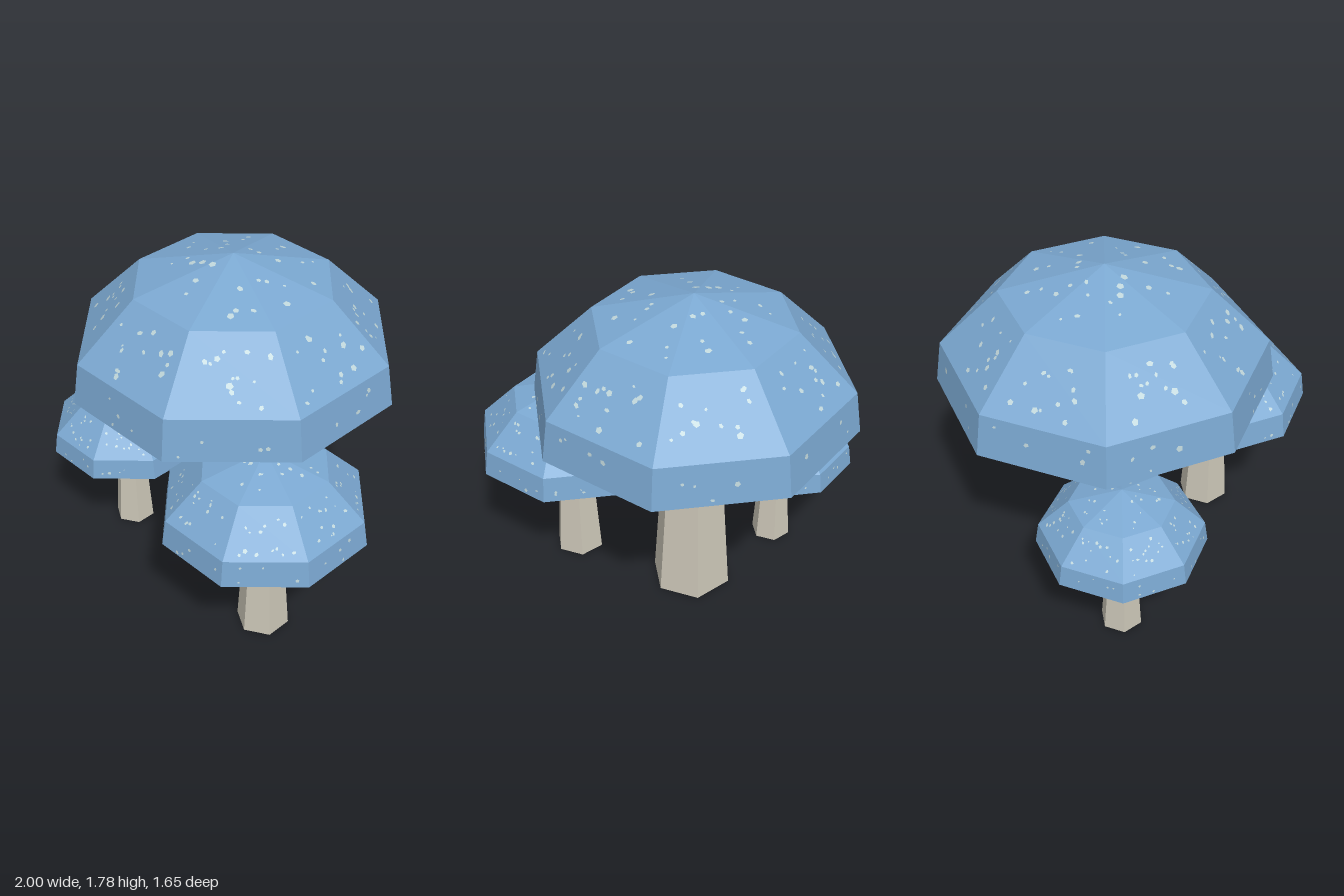
import * as THREE from 'three';
import { mergeGeometries } from 'three/addons/utils/BufferGeometryUtils.js';

const capBlue = new THREE.MeshStandardMaterial({ color: 0x7ba8d1 });
const stemBeige = new THREE.MeshStandardMaterial({ color: 0xcac5b6 });
const paleSpot = new THREE.MeshStandardMaterial({ color: 0xc0d6da });

// Outer cap profile as [corner radius, height], from rim to apex
const CAP = [[0.85, 1.12], [0.817, 1.34], [0.517, 1.64], [0, 1.785]];
const CAP_SIDES = 8;
const HALF = Math.PI / CAP_SIDES;

function seeded(seed) {
  let s = seed;
  return () => (s = (s * 16807) % 2147483647) / 2147483647;
}

// Faceted solid of revolution, profile listed from bottom to top
function faceted(profile, sides, start) {
  const points = profile.map(([r, y]) => new THREE.Vector2(r, y));
  const geometry = new THREE.LatheGeometry(points, sides, start).toNonIndexed();
  geometry.computeVertexNormals();
  return geometry;
}

// Small flat flecks scattered over every facet of the cap
function spotGeometry(seed) {
  const random = seeded(seed);
  const counts = [4, 13, 4];
  const flecks = [];
  const front = new THREE.Vector3(0, 0, 1);
  for (let side = 0; side < CAP_SIDES; side++) {
    const angle = side * 2 * HALF;
    const out = new THREE.Vector3(Math.sin(angle), 0, Math.cos(angle));
    const across = new THREE.Vector3(Math.cos(angle), 0, -Math.sin(angle));
    counts.forEach((count, tier) => {
      const [r0, y0] = CAP[tier];
      const [r1, y1] = CAP[tier + 1];
      const normal = out.clone().multiplyScalar(y1 - y0);
      normal.y = (r0 - r1) * Math.cos(HALF);
      normal.normalize();
      const turn = new THREE.Quaternion().setFromUnitVectors(front, normal);
      for (let i = 0; i < count; i++) {
        const t = 0.12 + 0.7 * random();
        const r = r0 + (r1 - r0) * t;
        const u = (random() * 2 - 1) * 0.8 * r * Math.sin(HALF);
        const size = 0.008 + 0.012 * random();
        const fleck = new THREE.CircleGeometry(size, 5);
        fleck.scale(0.6 + 0.4 * random(), 1, 1);
        fleck.rotateZ(random() * Math.PI);
        fleck.applyQuaternion(turn);
        const p = out.clone().multiplyScalar(r * Math.cos(HALF))
          .addScaledVector(across, u).addScaledVector(normal, 0.003);
        fleck.translate(p.x, y0 + (y1 - y0) * t + normal.y * 0.003, p.z);
        flecks.push(fleck);
      }
    });
  }
  return mergeGeometries(flecks);
}

function mushroom(name, x, z, scale, seed) {
  const group = new THREE.Group();
  group.name = name;
  const add = (part, geometry, material) => {
    const mesh = new THREE.Mesh(geometry, material);
    mesh.name = part;
    group.add(mesh);
  };
  // Six-sided stem, waisted just below the cap
  add('stem', faceted([[0, 0], [0.22, 0], [0.16, 0.9], [0.185, 1.05]], 6, 0), stemBeige);
  // Cap with a narrow lip turned under the rim
  add('cap', faceted([[0.82, 1.12], ...CAP], CAP_SIDES, HALF), capBlue);
  add('gills', faceted([[0, 1.045], [0.525, 1.045], [0.82, 1.12]], CAP_SIDES, HALF), paleSpot);
  add('spots', spotGeometry(seed), paleSpot);
  group.scale.setScalar(scale);
  group.position.set(x, 0, z);
  return group;
}

export function createModel() {
  const model = new THREE.Group();
  model.name = 'mushroomCluster';
  model.add(
    mushroom('largeMushroom', -0.085, -0.04, 1, 11),
    mushroom('mediumMushroom', 0.507, 0.332, 0.622, 222),
    mushroom('smallMushroom', -0.608, 0.256, 0.5, 3333),
  );
  return model;
}
